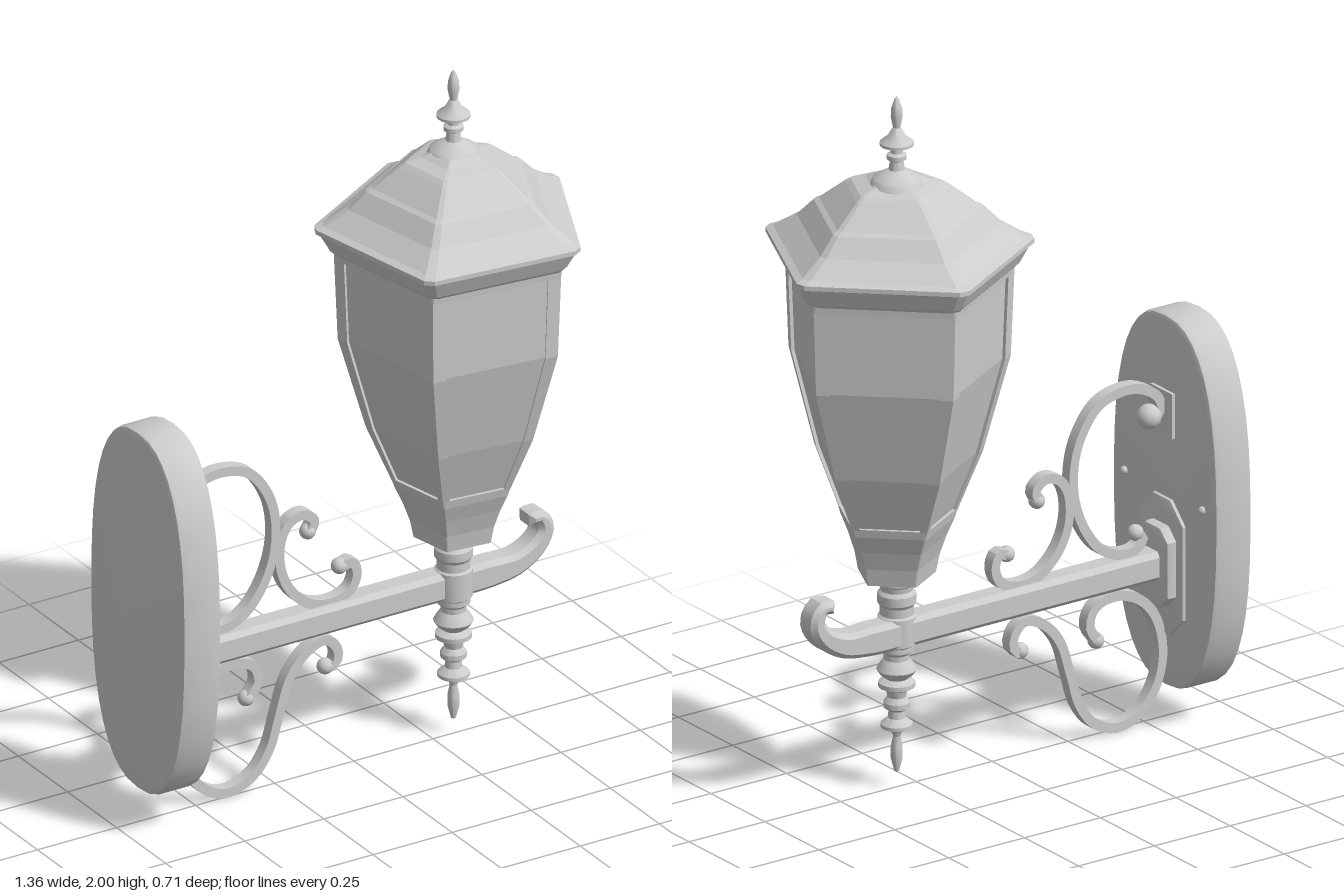
import * as THREE from 'three';
import { toCreasedNormals } from 'three/addons/utils/BufferGeometryUtils.js';

const material = new THREE.MeshStandardMaterial({ color: 0xcccccc });
const LAMP_X = 0.308, LAMP_Z = 0.015, ARM_Z = -0.01;

function add(parent, name, geometry, x = 0, y = 0, z = 0) {
  const mesh = new THREE.Mesh(geometry, material);
  mesh.name = name;
  mesh.position.set(x, y, z);
  parent.add(mesh);
  return mesh;
}

// Skin a stack of equal-length rings (bottom to top) and cap both ends
function loft(rings) {
  const pos = [];
  const tri = (...pts) => pts.forEach((p) => pos.push(p.x, p.y, p.z));
  const n = rings[0].length;
  for (let i = 0; i < rings.length - 1; i++) {
    for (let j = 0; j < n; j++) {
      const k = (j + 1) % n, lo = rings[i], hi = rings[i + 1];
      tri(lo[j], hi[j], lo[k]);
      tri(lo[k], hi[j], hi[k]);
    }
  }
  const bottom = rings[0], top = rings[rings.length - 1];
  for (let j = 1; j < n - 1; j++) {
    tri(bottom[0], bottom[j], bottom[j + 1]);
    tri(top[0], top[j + 1], top[j]);
  }
  const g = new THREE.BufferGeometry();
  g.setAttribute('position', new THREE.Float32BufferAttribute(pos, 3));
  g.computeVertexNormals();
  return g;
}

// Corner i of the lantern's five-sided plan
function corner(i, r, y) {
  const a = THREE.MathUtils.degToRad(-12 + 72 * i);
  return new THREE.Vector3(r * Math.cos(a), y, r * Math.sin(a));
}

// Pentagon ring with clipped corners
function pentagon(r, y, clip) {
  const ring = [];
  for (let i = 0; i < 5; i++) {
    const c = corner(i, r, y);
    ring.push(c.clone().lerp(corner(i - 1, r, y), clip), c.clone().lerp(corner(i + 1, r, y), clip));
  }
  return ring;
}

const pentLoft = (profile, clip) => loft(profile.map(([r, y]) => pentagon(r, y, clip)));

function lathe(profile, segments = 20) {
  const g = new THREE.LatheGeometry(profile.map(([r, y]) => new THREE.Vector2(r, y)), segments);
  return toCreasedNormals(g, 0.6);
}

// Flat bar following a curve in the xy plane, extruded through z
function ribbon(points, halfWidth, depth, bevel = 0, steps = 72) {
  const curve = new THREE.CatmullRomCurve3(points.map(([x, y]) => new THREE.Vector3(x, y, 0)), false, 'centripetal');
  const left = [], right = [];
  for (let i = 0; i <= steps; i++) {
    const u = i / steps, p = curve.getPointAt(u), t = curve.getTangentAt(u), w = halfWidth(u);
    left.push(new THREE.Vector2(p.x - t.y * w, p.y + t.x * w));
    right.unshift(new THREE.Vector2(p.x + t.y * w, p.y - t.x * w));
  }
  const g = new THREE.ExtrudeGeometry(new THREE.Shape([...left, ...right]), {
    depth: depth - 2 * bevel, bevelEnabled: bevel > 0, bevelSize: bevel,
    bevelThickness: bevel, bevelOffset: -bevel, bevelSegments: 1,
  });
  g.translate(0, 0, bevel - depth / 2);
  return toCreasedNormals(g, 0.5);
}

// Plate lying against the wall: outline in (z, y), thickness along +x
function plate(outline, thickness, bevel) {
  const g = new THREE.ExtrudeGeometry(new THREE.Shape(outline.map(([z, y]) => new THREE.Vector2(-z, y))), {
    depth: thickness - bevel, bevelEnabled: bevel > 0, bevelSize: bevel,
    bevelThickness: bevel, bevelOffset: -bevel, bevelSegments: 2,
  });
  g.rotateY(Math.PI / 2);
  return toCreasedNormals(g, 0.5);
}

const octagon = (w, h, c) => [
  [w, h - c], [w - c, h], [c - w, h], [-w, h - c], [-w, c - h], [c - w, -h], [w - c, -h], [w, c - h],
];

export function createModel() {
  const model = new THREE.Group();
  model.name = 'wallLantern';

  // Wall mount: rounded oval back plate with raised pads and screws
  const mount = new THREE.Group();
  mount.name = 'wallMount';
  model.add(mount);
  const oval = [];
  for (let i = 0; i < 40; i++) {
    const a = (i / 40) * Math.PI * 2, c = Math.cos(a), s = Math.sin(a);
    oval.push([0.241 * Math.sign(c) * Math.abs(c) ** 0.8, 0.537 * Math.sign(s) * Math.abs(s) ** 0.8]);
  }
  add(mount, 'backPlate', plate(oval, 0.107, 0.013), -0.667, 0.632, ARM_Z);
  add(mount, 'armPad', plate(octagon(0.1, 0.195, 0.06), 0.015, 0.004), -0.565, 0.45, ARM_Z);
  add(mount, 'armBoss', plate(octagon(0.07, 0.115, 0.035), 0.04, 0.008), -0.56, 0.455, ARM_Z);
  add(mount, 'scrollPad', new THREE.BoxGeometry(0.02, 0.13, 0.1), -0.56, 0.89, ARM_Z);
  for (const side of [-1, 1]) {
    add(mount, 'screw', new THREE.SphereGeometry(0.012, 10, 8), -0.558, 0.66, ARM_Z + side * 0.18);
  }

  // Straight arm ending in an upward hook
  const armPath = [[-0.53, 0.458], [-0.2, 0.458], [0.2, 0.458], [0.42, 0.458], [0.51, 0.466],
    [0.575, 0.503], [0.6, 0.55], [0.58, 0.588], [0.545, 0.586]];
  add(model, 'arm', ribbon(armPath, (u) => (u < 0.76 ? 0.042 : 0.042 - 0.024 * (u - 0.76) / 0.24), 0.076, 0.014),
    0, 0, ARM_Z);

  // Scrolled ironwork above and below the arm
  const scrolls = {
    upperScroll: [[-0.51, 0.885], [-0.54, 0.90], [-0.53, 0.94], [-0.48, 0.975], [-0.42, 0.985], [-0.335, 0.96],
      [-0.268, 0.865], [-0.25, 0.75], [-0.275, 0.64], [-0.335, 0.55], [-0.40, 0.515], [-0.455, 0.515],
      [-0.482, 0.54], [-0.465, 0.56]],
    middleScroll: [[-0.14, 0.728], [-0.127, 0.76], [-0.16, 0.788], [-0.205, 0.775], [-0.232, 0.73], [-0.235, 0.65],
      [-0.205, 0.575], [-0.14, 0.515], [-0.066, 0.502], [-0.01, 0.525], [0.007, 0.57], [-0.008, 0.605], [-0.04, 0.597]],
    lowerScroll: [[-0.335, 0.278], [-0.305, 0.325], [-0.32, 0.375], [-0.385, 0.398], [-0.465, 0.372], [-0.52, 0.31],
      [-0.545, 0.205], [-0.525, 0.11], [-0.47, 0.042], [-0.40, 0.016], [-0.32, 0.045], [-0.27, 0.11], [-0.24, 0.205],
      [-0.205, 0.31], [-0.15, 0.372], [-0.09, 0.393], [-0.053, 0.352], [-0.06, 0.312], [-0.085, 0.307]],
  };
  for (const [name, path] of Object.entries(scrolls)) {
    const scroll = new THREE.Group();
    scroll.name = name;
    scroll.position.z = ARM_Z;
    model.add(scroll);
    add(scroll, 'band', ribbon(path, () => 0.014, 0.034));
    [path[0], path[path.length - 1]].forEach(([x, y], i) => {
      const ball = name === 'upperScroll' && i === 0;
      add(scroll, 'curlEnd', new THREE.SphereGeometry(ball ? 0.035 : 0.023, 14, 10), x, y);
    });
  }

  // Lantern
  const lantern = new THREE.Group();
  lantern.name = 'lantern';
  lantern.position.set(LAMP_X, 0, LAMP_Z);
  model.add(lantern);

  // Tapering glass with a frame post wrapped around each corner
  const body = [[0.164, 0.77], [0.24, 0.95], [0.316, 1.22], [0.327, 1.49]];
  add(lantern, 'glass', pentLoft(body.map(([r, y]) => [r - 0.012, y]), 0.02));
  for (let i = 0; i < 5; i++) {
    add(lantern, 'cornerPost', loft(body.map(([r, y]) => {
      const c = corner(i, r, y), t = 0.1;
      return [c.clone().lerp(corner(i - 1, r, y), t), c,
        c.clone().lerp(corner(i + 1, r, y), t), corner(i, r * 0.86, y)];
    })));
  }
  add(lantern, 'topRail', pentLoft([[0.327, 1.46], [0.33, 1.49]], 0.01));
  add(lantern, 'bottomCup', pentLoft([[0.112, 0.61], [0.122, 0.66], [0.142, 0.715], [0.165, 0.765], [0.172, 0.79]], 0.02));

  // Stepped five-sided roof
  add(lantern, 'roof', pentLoft([[0.335, 1.48], [0.347, 1.49], [0.376, 1.54], [0.388, 1.545], [0.388, 1.558],
    [0.365, 1.566], [0.295, 1.61], [0.245, 1.66], [0.228, 1.668], [0.152, 1.727], [0.135, 1.738],
    [0.09, 1.75], [0.06, 1.765]], 0.04));

  // Turned finial on top and spindle underneath
  const turned = new THREE.Group();
  turned.name = 'turnings';
  turned.position.set(0.315, 0, 0);
  model.add(turned);
  add(turned, 'finial', lathe([[0.075, 1.745], [0.065, 1.765], [0.04, 1.78], [0.022, 1.79], [0.018, 1.815],
    [0.027, 1.82], [0.027, 1.832], [0.017, 1.838], [0.017, 1.855], [0.046, 1.86], [0.046, 1.868], [0.025, 1.885],
    [0.014, 1.905], [0.01, 1.91], [0.016, 1.94], [0.015, 1.965], [0.007, 1.99], [0, 2.0]]));
  add(turned, 'spindle', lathe([[0, 0.045], [0.007, 0.05], [0.016, 0.085], [0.016, 0.12], [0.01, 0.15], [0.016, 0.165],
    [0.044, 0.178], [0.044, 0.188], [0.024, 0.205], [0.022, 0.225], [0.036, 0.235], [0.036, 0.25], [0.025, 0.265],
    [0.03, 0.285], [0.05, 0.295], [0.05, 0.308], [0.03, 0.318], [0.045, 0.33], [0.055, 0.345], [0.045, 0.362],
    [0.035, 0.375], [0.035, 0.39], [0.046, 0.4], [0.046, 0.415], [0.052, 0.42], [0.052, 0.5], [0.046, 0.505],
    [0.046, 0.53], [0.053, 0.54], [0.053, 0.565], [0.044, 0.575], [0.046, 0.59], [0.064, 0.6], [0.064, 0.62]]));

  return model;
}
